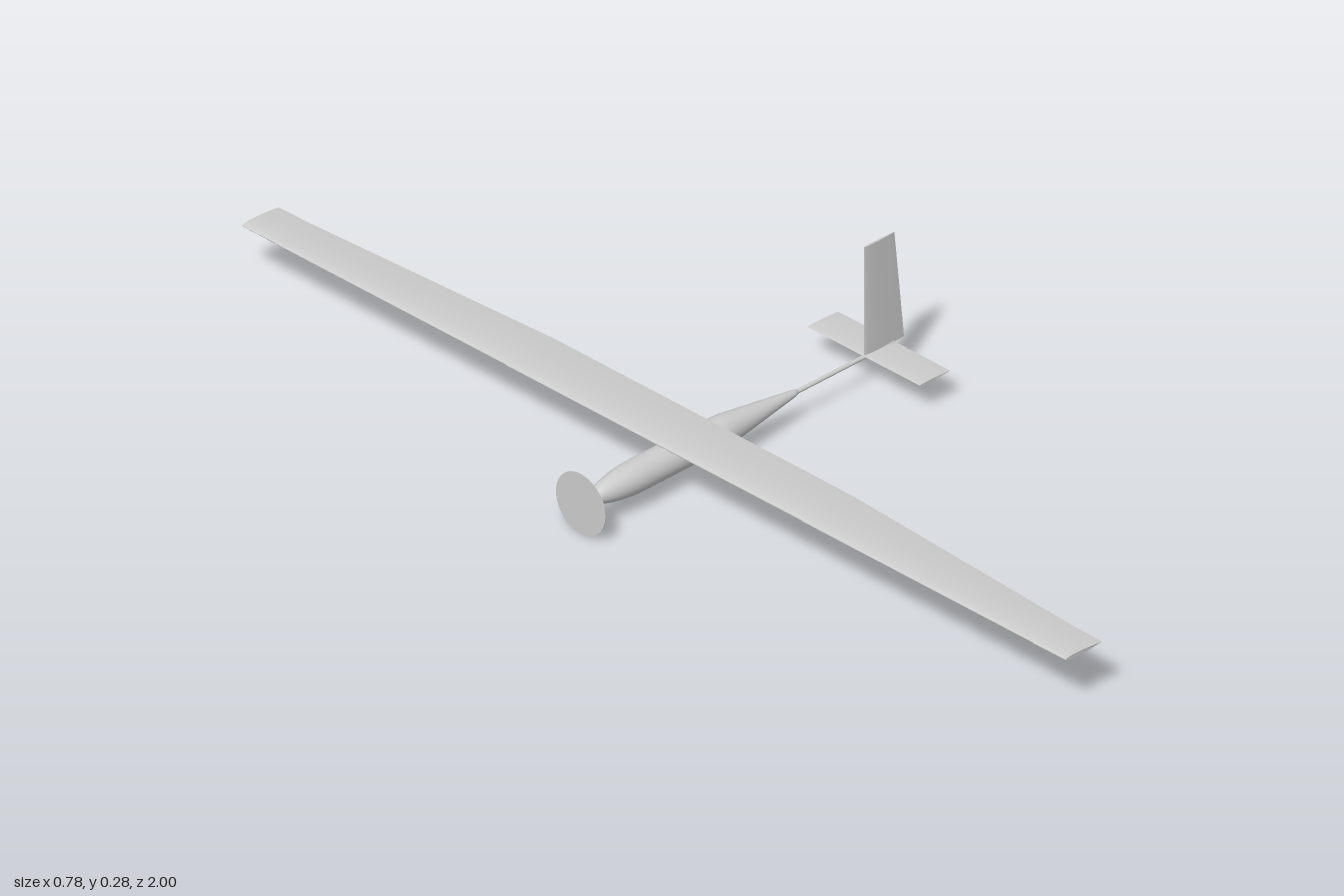
import * as THREE from 'three';

const grey = new THREE.MeshStandardMaterial({ color: 0xcccccc });
grey.name = 'light grey';
const AXIS_Y = 0.06; // height of the fuselage axis

// Airfoil loop for a unit chord: trailing edge, over the top, nose, back underneath
function airfoil(thickness, steps = 14) {
  const points = [];
  for (let i = -steps; i <= steps; i++) {
    const u = (1 - Math.cos((Math.PI * i) / steps)) / 2;
    const t = 5 * thickness * (0.2969 * Math.sqrt(u) - 0.126 * u - 0.3516 * u * u + 0.2843 * u ** 3 - 0.1036 * u ** 4);
    points.push([u, (i < 0 ? t : -t) - 0.008 * u * u]);
  }
  return points;
}

// Skin through airfoil stations [z, chord] in order of rising z, with closed ends
function loft(name, stations, leadX, thickness) {
  const foil = airfoil(thickness);
  const n = foil.length;
  const position = [];
  const index = [];
  const addRing = ([z, chord]) => {
    const start = position.length / 3;
    foil.forEach(([u, v]) => position.push(leadX + u * chord, v * chord, z));
    return start;
  };
  const rings = stations.map(addRing);
  for (let s = 0; s + 1 < rings.length; s++) {
    for (let j = 0; j + 1 < n; j++) {
      const a = rings[s] + j;
      const d = rings[s + 1] + j;
      index.push(a, a + 1, d, a + 1, d + 1, d);
    }
  }
  // Flat end caps
  const back = addRing(stations[0]);
  const front = addRing(stations[stations.length - 1]);
  for (let j = 1; j + 1 < n; j++) {
    index.push(back, back + j + 1, back + j, front, front + j, front + j + 1);
  }
  const geometry = new THREE.BufferGeometry();
  geometry.setAttribute('position', new THREE.Float32BufferAttribute(position, 3));
  geometry.setIndex(index);
  geometry.computeVertexNormals();
  const mesh = new THREE.Mesh(geometry, grey);
  mesh.name = name;
  return mesh;
}

// Round rod lying along x
function rod(name, x0, x1, radius, sides = 24) {
  const geometry = new THREE.CylinderGeometry(radius, radius, x1 - x0, sides).rotateZ(-Math.PI / 2);
  const mesh = new THREE.Mesh(geometry, grey);
  mesh.name = name;
  mesh.position.set((x0 + x1) / 2, AXIS_Y, 0);
  return mesh;
}

export function createModel() {
  const model = new THREE.Group();
  model.name = 'motorGlider';

  // Fuselage: rounded nose, straight middle, long tapered tail
  const profile = [];
  for (let i = 0; i <= 14; i++) {
    const a = (i / 14) * (Math.PI / 2);
    profile.push(new THREE.Vector2(0.03 * Math.sin(a), -0.25 - 0.117 * Math.cos(a)));
  }
  [[0.03, -0.06], [0.0285, -0.04], [0.007, 0.122], [0.0045, 0.131], [0, 0.133]]
    .forEach(([r, x]) => profile.push(new THREE.Vector2(r, x)));
  const fuselage = new THREE.Mesh(new THREE.LatheGeometry(profile, 40).rotateZ(-Math.PI / 2), grey);
  fuselage.name = 'fuselage';
  fuselage.position.y = AXIS_Y;
  model.add(fuselage);

  // Tail boom, motor shaft and propeller disc
  model.add(rod('tailBoom', 0.125, 0.363, 0.004));
  model.add(rod('motorShaft', -0.385, -0.36, 0.006));
  model.add(rod('propellerDisc', -0.39, -0.389, 0.06, 48));

  // Wing: straight centre, tapered outer panels, straight tips
  const wing = new THREE.Group();
  wing.name = 'wing';
  wing.position.y = 0.106;
  const wingPanel = (name, stations) => wing.add(loft(name, stations, -0.214, 0.1));
  wingPanel('wingCentre', [[-0.36, 0.121], [0.36, 0.121]]);
  const outer = [[0.36, 0.121], [0.92, 0.09]];
  const tip = [[0.92, 0.09], [1, 0.088]];
  const mirror = (stations) => stations.map(([z, chord]) => [-z, chord]).reverse();
  wingPanel('wingOuterNear', outer);
  wingPanel('wingOuterFar', mirror(outer));
  wingPanel('wingTipNear', tip);
  wingPanel('wingTipFar', mirror(tip));
  model.add(wing);

  // Tailplane
  const tailplane = loft('tailplane', [[-0.136, 0.073], [0.136, 0.073]], 0.292, 0.06);
  tailplane.position.y = AXIS_Y + 0.001;
  model.add(tailplane);

  // Upright fin with a swept trailing edge
  const fin = loft('fin', [[0.061, 0.096], [0.28, 0.073]], 0.292, 0.06);
  fin.rotation.x = -Math.PI / 2;
  model.add(fin);

  return model;
}
